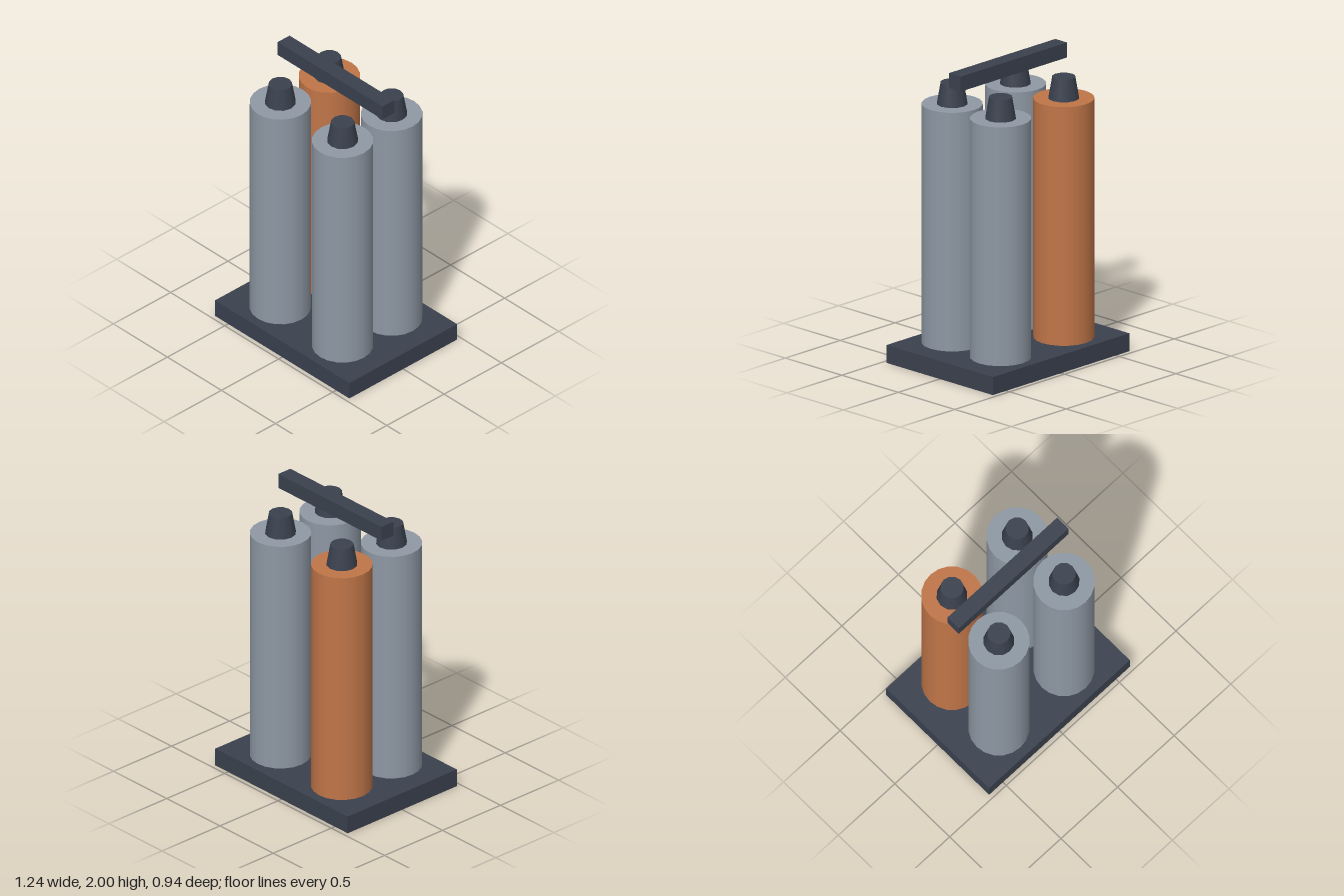
import * as THREE from 'three';

export function createModel() {
  const model = new THREE.Group();
  const material = (name, color) => {
    const m = new THREE.MeshStandardMaterial({ color });
    m.name = name;
    return m;
  };
  const dark = material('dark slate', 0x3a414e);
  const grey = material('steel grey', 0x8e98a4);
  const orange = material('burnt orange', 0xc07548);

  const add = (name, geometry, mat, x, y, z) => {
    const mesh = new THREE.Mesh(geometry, mat);
    mesh.name = name;
    mesh.position.set(x, y, z);
    model.add(mesh);
  };

  // Base plate and the bar above the bottles
  add('basePlate', new THREE.BoxGeometry(1.244, 0.12, 0.94), dark, 0, 0.06, 0);
  add('topBar', new THREE.BoxGeometry(0.97, 0.1, 0.104), dark, 0, 1.95, 0);

  // Four bottles with tapered valves; the back right one is orange
  const bottle = new THREE.CylinderGeometry(0.196, 0.196, 1.595, 20);
  const valve = new THREE.CylinderGeometry(0.075, 0.1, 0.143, 12);
  for (const x of [-0.288, 0.288]) {
    for (const z of [-0.214, 0.214]) {
      add('bottle', bottle, x < 0 && z < 0 ? orange : grey, x, 0.9175, z);
      add('valve', valve, dark, x, 1.7865, z);
    }
  }
  return model;
}
